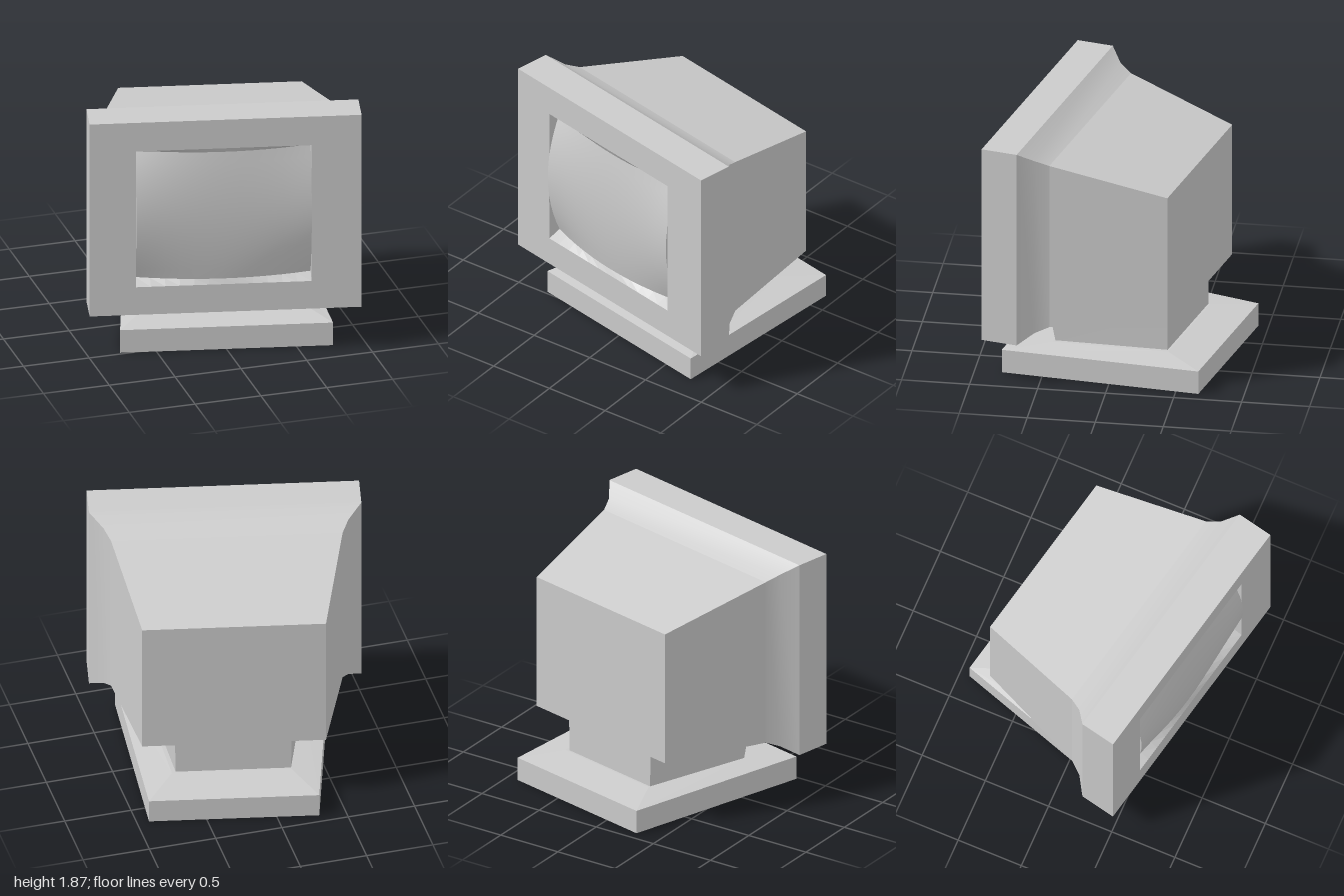
import * as THREE from 'three';
import { toCreasedNormals } from 'three/addons/utils/BufferGeometryUtils.js';

const flat = new THREE.MeshStandardMaterial({ color: 0xcccccc, flatShading: true });
const smooth = new THREE.MeshStandardMaterial({ color: 0xcccccc });
const open = new THREE.MeshStandardMaterial({ color: 0xcccccc, flatShading: true, side: THREE.DoubleSide });
const glass = new THREE.MeshStandardMaterial({ color: 0xcccccc, side: THREE.DoubleSide });

// Skin between rings of points, counter-clockwise seen from the far end
function loft(rings, capStart = false, capEnd = false) {
  const pos = [];
  const quad = (a, b, c, d) => pos.push(...a, ...b, ...c, ...a, ...c, ...d);
  for (let r = 0; r + 1 < rings.length; r++) {
    const a = rings[r], b = rings[r + 1], n = a.length;
    for (let i = 0; i < n; i++) quad(a[i], a[(i + 1) % n], b[(i + 1) % n], b[i]);
  }
  const s = rings[0], e = rings[rings.length - 1];
  if (capStart) quad(s[0], s[3], s[2], s[1]);
  if (capEnd) quad(e[0], e[1], e[2], e[3]);
  const geo = new THREE.BufferGeometry();
  geo.setAttribute('position', new THREE.Float32BufferAttribute(pos, 3));
  geo.computeVertexNormals();
  return geo;
}

// Upright rectangle at depth z
const upright = ([z, hw, y0, y1]) => [[-hw, y0, z], [hw, y0, z], [hw, y1, z], [-hw, y1, z]];
// Level trapezoid at height y
const level = (y, front, hwFront, back, hwBack) =>
  [[-hwFront, y, front], [hwFront, y, front], [hwBack, y, back], [-hwBack, y, back]];

export function createModel() {
  const model = new THREE.Group();
  model.name = 'monitor';
  const turned = new THREE.Group();
  turned.name = 'turnedMonitor';
  turned.rotation.y = -0.2084;
  model.add(turned);
  const body = new THREE.Group();
  body.name = 'body';
  body.position.x = 0.119;
  turned.add(body);
  const add = (name, geo, mat, x = 0, y = 0, z = 0) => {
    const mesh = new THREE.Mesh(geo, mat);
    mesh.name = name;
    mesh.position.set(x, y, z);
    body.add(mesh);
  };

  // Housing: tapered rear, curved shoulder, front frame
  const front = 0.706;
  const sections = [
    [-0.615, 0.669, 0.51, 1.55],
    [0.236, 0.843, 0.45, 1.745],
    [0.336, 0.892, 0.405, 1.79],
    [0.434, 0.992, 0.335, 1.867],
    [front, 0.992, 0.335, 1.867],
  ].map(upright);
  add('rearHousing', loft(sections.slice(0, 2), true), flat);
  add('shoulder', toCreasedNormals(loft(sections.slice(1, 4)), 0.4), smooth);
  add('frontFrame', loft(sections.slice(3)), flat);

  // Front face with the screen opening
  const ox = -0.012, oy = 1.097, ow = 0.64, oh = 0.542, sh = 0.505;
  const face = new THREE.Shape([
    new THREE.Vector2(-0.992, 0.335), new THREE.Vector2(0.992, 0.335),
    new THREE.Vector2(0.992, 1.867), new THREE.Vector2(-0.992, 1.867),
  ]);
  face.holes.push(new THREE.Path([
    new THREE.Vector2(ox - ow, oy - oh), new THREE.Vector2(ox - ow, oy + oh),
    new THREE.Vector2(ox + ow, oy + oh), new THREE.Vector2(ox + ow, oy - oh),
  ]));
  add('bezel', new THREE.ShapeGeometry(face), flat, 0, 0, front);

  // Bulging screen, deepest at its corners
  const bulge = (u, v) => 0.025 - 0.01 * u * u - 0.045 * v * v - 0.07 * u * u * v * v;
  const N = 12;
  const screen = new THREE.PlaneGeometry(2 * ow, 2 * sh, N, N);
  const p = screen.attributes.position;
  for (let i = 0; i < p.count; i++) p.setZ(i, bulge(p.getX(i) / ow, p.getY(i) / sh));
  screen.computeVertexNormals();
  add('screen', screen, glass, ox, oy, front);

  // Recess walls from the screen edge to the opening
  const inner = [], outer = [];
  const corners = [[-1, -1], [1, -1], [1, 1], [-1, 1]];
  corners.forEach(([u0, v0], k) => {
    const [u1, v1] = corners[(k + 1) % 4];
    for (let i = 0; i < N; i++) {
      const u = u0 + (u1 - u0) * i / N, v = v0 + (v1 - v0) * i / N;
      inner.push([u * ow, v * sh, bulge(u, v)]);
      outer.push([u * ow, v * oh, 0]);
    }
  });
  add('screenRecess', loft([inner, outer]), open, ox, oy, front);

  // Neck leaning slightly forward
  add('neck', loft([level(0.2, 0.296, 0.555, -0.524, 0.42), level(0.497, 0.35, 0.572, -0.524, 0.425)], true, true), flat);

  // Tapered base with a shallow sloping top
  add('base', loft([
    level(0, 0.625, 0.777, -0.842, 0.62),
    level(0.18, 0.625, 0.777, -0.842, 0.62),
    level(0.207, 0.31, 0.57, -0.54, 0.435),
  ], true, true), flat, 0.014);

  return model;
}
